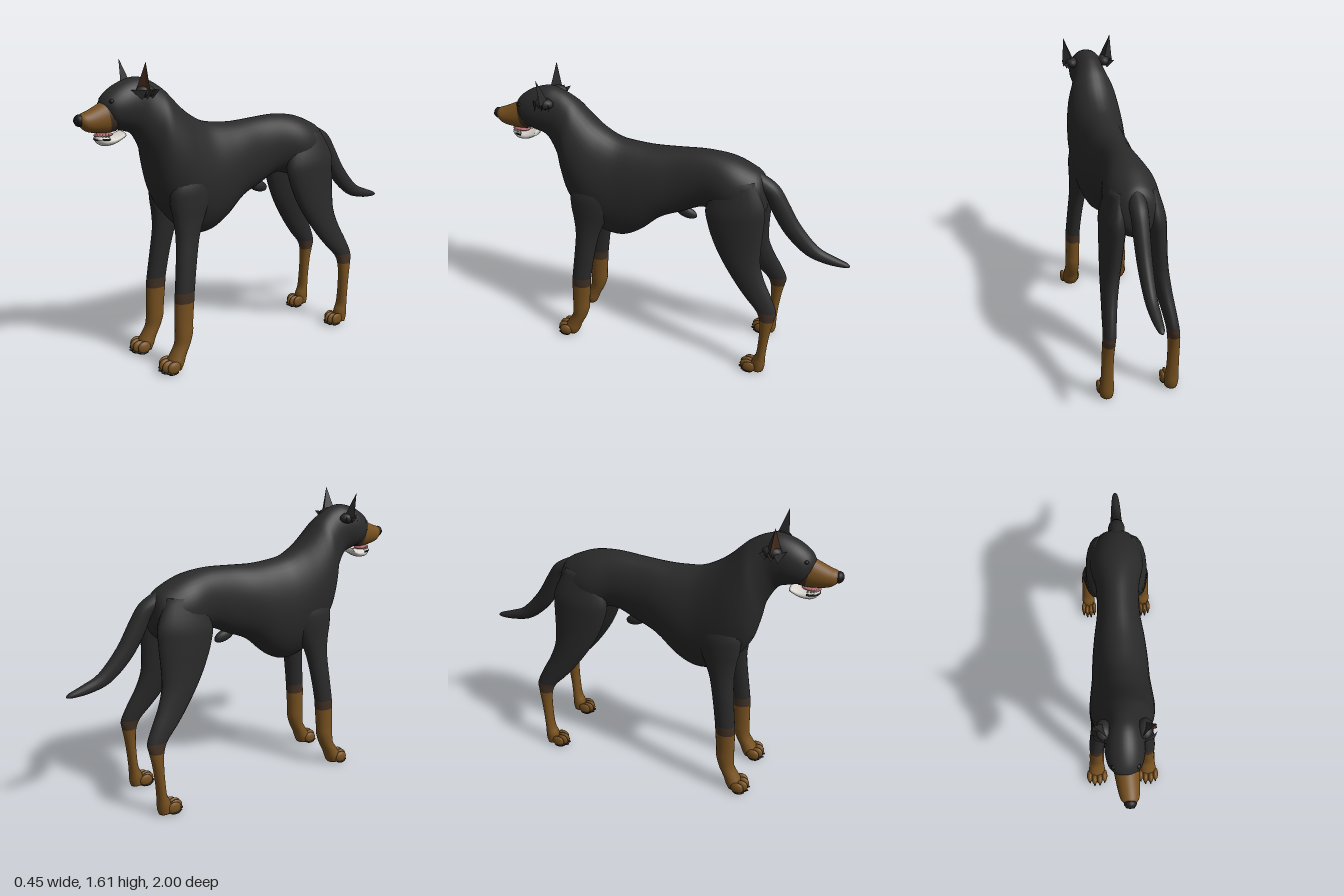
import * as THREE from 'three';

const mat = (name, color) => {
  const m = new THREE.MeshStandardMaterial({ color });
  m.name = name;
  return m;
};

export function createModel() {
  const black = mat('black coat', 0x2a2a2b);
  const tan = mat('tan fur', 0x76501f);
  const blend = mat('dark brown fur', 0x413023);
  const nose = mat('nose and claws', 0x1c1a1a);
  const white = mat('teeth and chin', 0xd8d4cc);
  const pink = mat('tongue', 0xb06a70);
  const earBrown = mat('inner ear', 0x4a3020);
  earBrown.side = black.side = THREE.DoubleSide;

  const dog = new THREE.Group();
  dog.name = 'dog';

  const add = (name, geometry, material, parent = dog) => {
    const mesh = new THREE.Mesh(geometry, material);
    mesh.name = name;
    parent.add(mesh);
    return mesh;
  };

  // Smooth loft. Section: [z1, y1, z2, y2, halfWidth, centreX, materialIndex];
  // the two points are opposite ends of the oval in the side plane.
  function loft(name, sections, materials, { side = 1, sides = 28, steps = 4, parent = dog } = {}) {
    const n = sections.length;
    const at = (i, k) => sections[Math.min(n - 1, Math.max(0, i))][k] ?? 0;
    const spline = (i, t, k) => {
      const a = at(i - 1, k), b = at(i, k), c = at(i + 1, k), d = at(i + 2, k);
      return b + 0.5 * t * (c - a + t * (2 * a - 5 * b + 4 * c - d + t * (3 * (b - c) + d - a)));
    };
    const pos = [], idx = [], centres = [];
    const rings = (n - 1) * steps + 1;
    for (let r = 0; r < rings; r++) {
      const i = Math.min(n - 2, Math.floor(r / steps)), t = r / steps - i;
      const [z1, y1, z2, y2, w, x] = [0, 1, 2, 3, 4, 5].map(k => spline(i, t, k));
      const cy = (y1 + y2) / 2, cz = (z1 + z2) / 2;
      centres.push([x * side, cy, cz]);
      for (let j = 0; j < sides; j++) {
        const a = j / sides * Math.PI * 2, c = Math.cos(a);
        pos.push(x * side + w * Math.sin(a), cy + c * (y1 - y2) / 2, cz + c * (z1 - z2) / 2);
      }
    }
    pos.push(...centres[0], ...centres[rings - 1]);
    const geometry = new THREE.BufferGeometry();
    const first = rings * sides;
    for (let s = 0; s < n - 1; s++) {
      const start = idx.length;
      for (let r = s * steps; r < (s + 1) * steps; r++) {
        for (let j = 0; j < sides; j++) {
          const k = (j + 1) % sides, p = r * sides, q = p + sides;
          idx.push(p + j, q + j, p + k, q + j, q + k, p + k);
          if (r === 0) idx.push(first, j, k);
          if (r === rings - 2) idx.push(first + 1, q + k, q + j);
        }
      }
      geometry.addGroup(start, idx.length - start, at(s, 6));
    }
    geometry.setAttribute('position', new THREE.Float32BufferAttribute(pos, 3));
    geometry.setIndex(idx);
    geometry.computeVertexNormals();
    return add(name, geometry, materials, parent);
  }

  function ball(name, material, [x, y, z], [sx, sy, sz], parent = dog) {
    const m = add(name, new THREE.SphereGeometry(1, 16, 12), material, parent);
    m.position.set(x, y, z);
    m.scale.set(sx, sy, sz);
    return m;
  }

  // Trunk, neck and skull in one sweep
  loft('body', [
    [-.532, 1.08, -.535, .98, .025], [-.50, 1.17, -.52, .95, .09], [-.43, 1.215, -.46, .91, .13],
    [-.33, 1.253, -.33, .91, .142], [-.20, 1.27, -.20, .94, .115], [-.05, 1.263, -.07, .885, .113],
    [.08, 1.255, .05, .83, .132], [.18, 1.26, .17, .725, .146], [.28, 1.275, .28, .675, .152],
    [.36, 1.315, .40, .70, .162], [.42, 1.36, .50, .79, .165], [.47, 1.41, .575, .90, .156],
    [.51, 1.45, .61, 1.03, .14], [.55, 1.48, .63, 1.13, .115], [.60, 1.508, .67, 1.215, .096],
    [.67, 1.525, .70, 1.25, .095], [.76, 1.50, .74, 1.265, .093], [.83, 1.455, .79, 1.28, .078],
    [.86, 1.415, .82, 1.30, .05],
  ], [black], { sides: 40 });

  // Tail, from tip to root
  loft('tail', [
    [-1, .703, -.998, .695, .006, .015], [-.98, .718, -.965, .69, .018, .015],
    [-.91, .745, -.87, .698, .027, .015], [-.82, .79, -.76, .735, .032, .014],
    [-.715, .91, -.645, .84, .038, .012], [-.645, 1.03, -.567, .96, .042, .01],
    [-.585, 1.12, -.52, 1.06, .045, .008], [-.50, 1.175, -.47, 1.08, .045, .005],
    [-.42, 1.215, -.42, 1.12, .03],
  ], [black], { sides: 18 });

  ball('sheath', black, [0, .875, -.09], [.025, .032, .065]).rotation.x = -.35;

  // Muzzle, nose and mouth
  const head = new THREE.Group();
  head.name = 'face';
  dog.add(head);
  loft('muzzle', [
    [.825, 1.43, .785, 1.27, .064, .004, 0], [.85, 1.417, .82, 1.265, .06, .006, 1],
    [.89, 1.398, .87, 1.267, .055, .009, 1], [.93, 1.38, .92, 1.275, .049, .012, 1],
    [.96, 1.37, .95, 1.287, .042, .014, 1], [.978, 1.36, .97, 1.305, .028, .015, 1],
  ], [blend, tan], { parent: head });
  ball('nose', nose, [.015, 1.337, .975], [.03, .03, .025], head);
  for (const s of [-1, 1]) ball('nostril', black, [.015 + s * .014, 1.337, .994], [.007, .007, .004], head);
  loft('chin', [
    [.75, 1.268, .75, 1.235, .052, .003], [.80, 1.252, .80, 1.208, .05, .005],
    [.85, 1.252, .85, 1.202, .046, .007], [.88, 1.258, .88, 1.215, .034, .008],
    [.895, 1.255, .895, 1.235, .012, .008],
  ], [white], { parent: head });
  const lip = add('lower lip', new THREE.TorusGeometry(.046, .005, 6, 24, Math.PI), nose, head);
  lip.position.set(.006, 1.238, .835);
  lip.rotation.x = Math.PI / 2;
  lip.scale.set(1, 1.25, 1);
  ball('tongue', pink, [.008, 1.257, .85], [.03, .012, .05], head);
  for (let i = 0; i < 11; i++) {
    const a = Math.PI * i / 10;
    const tooth = add('tooth', new THREE.ConeGeometry(.005, .018, 6), white, head);
    tooth.position.set(.008 + .041 * Math.cos(a), 1.259, .84 + .05 * Math.sin(a));
  }

  // Pointed ear: brown open front, black back
  const triangles = pts => {
    const g = new THREE.BufferGeometry();
    g.setAttribute('position', new THREE.Float32BufferAttribute(pts.flat(), 3));
    g.computeVertexNormals();
    return g;
  };
  function ear(s) {
    const P = (x, y, z) => [s * x, y, z];
    const tri = (a, b, c) => s > 0 ? [a, b, c] : [a, c, b];
    const inner = P(.08, 1.475, .7), outer = P(.147, 1.465, .662), tip = P(.137, 1.605, .678);
    const back = P(.095, 1.475, .635), fold = P(.108, 1.465, .672);
    const g = new THREE.Group();
    g.name = s > 0 ? 'leftEar' : 'rightEar';
    dog.add(g);
    add('innerEar', triangles([...tri(inner, fold, tip), ...tri(fold, outer, tip)]), earBrown, g);
    add('earBack', triangles([...tri(back, inner, tip), ...tri(outer, back, tip)]), black, g);
    ball('earBase', black, P(.095, 1.462, .66), [.035, .03, .05], g);
    for (let i = 0; i < 3; i++) {
      const z = .70 - i * .035;
      add('earTuft', triangles(tri(P(.08, 1.47, z + .03), P(.135 - i * .012, 1.425, z), P(.148, 1.472, z - .02))), black, g);
    }
  }

  // Toes, claws and pads
  function paw(s, x, z, k, parent) {
    ball('pad', nose, [s * x, .012, z - .02], [.044 * k, .012, .05], parent);
    [-.045, -.016, .016, .045].forEach((dx, i) => {
      const px = s * (x + dx * k), pz = z + (i % 3 ? .008 : -.008);
      ball('toe', tan, [px, .038, pz], [.018 * k, .034, .038], parent);
      ball('toePad', nose, [px, .01, pz + .004], [.015 * k, .01, .03], parent);
      ball('claw', nose, [px, .017, pz + .03], [.006, .008, .014], parent);
    });
  }

  for (const s of [-1, 1]) {
    const label = s > 0 ? 'left' : 'right';
    ear(s);
    ball(label + 'Eye', nose, [s * .056, 1.42, .822], [.012, .01, .012]);

    const front = new THREE.Group();
    front.name = label + 'FrontLeg';
    dog.add(front);
    loft('frontLeg', [
      [.47, 1.1, .33, 1.1, .03, .095], [.535, .97, .31, .97, .06, .106], [.54, .88, .315, .88, .062, .108],
      [.528, .80, .345, .80, .054, .113], [.52, .70, .385, .70, .048, .121], [.532, .56, .415, .56, .044, .136],
      [.548, .42, .437, .42, .043, .147, 1], [.552, .365, .442, .365, .043, .148, 2],
      [.555, .26, .452, .26, .042, .15, 2], [.556, .20, .456, .20, .044, .152, 2],
      [.562, .14, .475, .14, .043, .154, 2], [.59, .09, .505, .08, .046, .156, 2],
      [.605, .06, .52, .04, .05, .157, 2], [.59, .015, .535, .008, .04, .157, 2],
    ], [black, blend, tan], { side: s, sides: 20, parent: front });
    paw(s, .157, .607, 1, front);

    const hind = new THREE.Group();
    hind.name = label + 'HindLeg';
    dog.add(hind);
    loft('hindLeg', [
      [-.29, 1.15, -.47, 1.16, .04, .08], [-.225, 1.0, -.535, 1.03, .062, .1],
      [-.235, .90, -.54, .93, .062, .108], [-.28, .78, -.535, .81, .056, .118],
      [-.335, .68, -.538, .70, .05, .13], [-.41, .57, -.57, .60, .042, .145],
      [-.475, .49, -.615, .51, .037, .158], [-.535, .425, -.65, .425, .034, .168, 1],
      [-.56, .37, -.643, .37, .034, .174, 2], [-.567, .30, -.63, .30, .033, .178, 2],
      [-.565, .20, -.618, .20, .033, .18, 2], [-.558, .12, -.612, .11, .036, .18, 2],
      [-.54, .08, -.612, .045, .04, .18, 2], [-.53, .02, -.605, .008, .036, .18, 2],
    ], [black, blend, tan], { side: s, sides: 20, parent: hind });
    paw(s, .178, -.517, .75, hind);
  }
  return dog;
}
